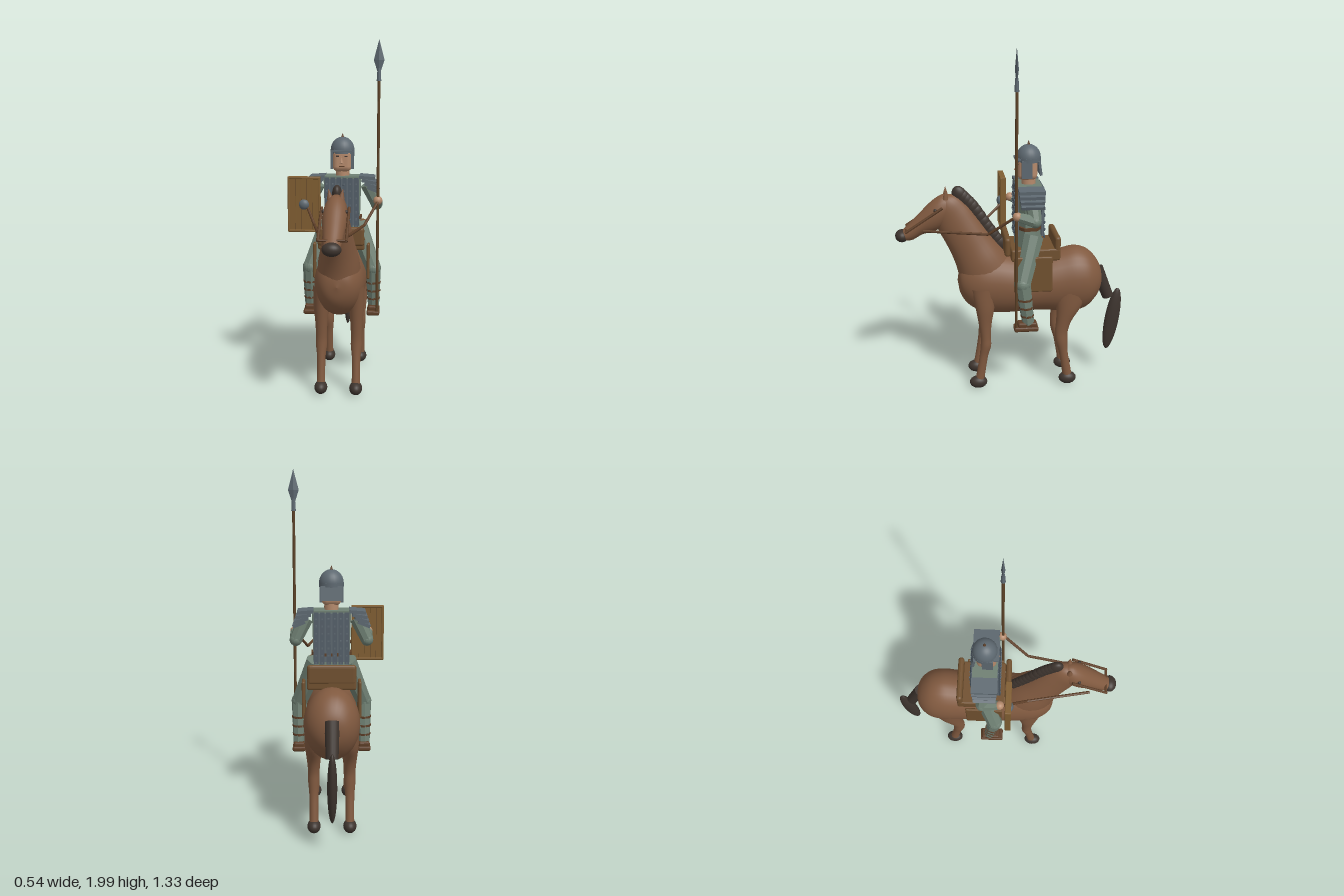
import * as THREE from 'three';
import { RoundedBoxGeometry } from 'three/addons/geometries/RoundedBoxGeometry.js';

const mat = (color, flatShading = false) => new THREE.MeshStandardMaterial({ color, flatShading });
const M = {
  coat: mat(0x80593f), dark: mat(0x3d342e), leather: mat(0x5e3f28, true), saddle: mat(0x70502f, true),
  cloth: mat(0x6f8073, true), steel: mat(0x5d6870, true), steelSmooth: mat(0x5d6870), plate: mat(0x49545e, true),
  skin: mat(0xb58a6c), wood: mat(0x7f5d31, true), woodDark: mat(0x5b4126, true),
};
const V = (x, y, z) => new THREE.Vector3(x, y, z);

export function createModel() {
  const model = new THREE.Group();
  const horse = new THREE.Group(), tack = new THREE.Group(), rider = new THREE.Group();
  horse.name = 'horse'; tack.name = 'tack'; rider.name = 'rider';
  model.add(horse, tack, rider);

  function add(parent, name, geo, material, x = 0, y = 0, z = 0) {
    const m = new THREE.Mesh(geo, material);
    m.name = name;
    m.position.set(x, y, z);
    parent.add(m);
    return m;
  }
  const box = (p, n, m, w, h, d, x, y, z) => add(p, n, new THREE.BoxGeometry(w, h, d), m, x, y, z);
  const rbox = (p, n, m, w, h, d, x, y, z, r = 0.01) => add(p, n, new RoundedBoxGeometry(w, h, d, 2, r), m, x, y, z);
  function ball(p, n, m, x, y, z, rx, ry = rx, rz = rx) {
    const s = add(p, n, new THREE.SphereGeometry(1, 24, 16), m, x, y, z);
    s.scale.set(rx, ry, rz);
    return s;
  }
  // Tapered rod from a to b
  function rod(p, n, m, a, b, ra, rb = ra, sides = 8) {
    const c = add(p, n, new THREE.CylinderGeometry(rb, ra, a.distanceTo(b), sides), m);
    c.position.copy(a).lerp(b, 0.5);
    c.quaternion.setFromUnitVectors(V(0, 1, 0), b.clone().sub(a).normalize());
    return c;
  }
  // Smooth skin over elliptical sections, each [zA, yA, zB, yB, halfWidth], refined by a spline
  function loft(p, n, m, sections, steps, x = 0) {
    const N = 28, pos = [], idx = [];
    const A = new THREE.CatmullRomCurve3(sections.map(s => V(0, s[1], s[0])));
    const B = new THREE.CatmullRomCurve3(sections.map(s => V(0, s[3], s[2])));
    const W = new THREE.CatmullRomCurve3(sections.map((s, i) => V(s[4], i, 0)));
    for (let i = 0; i <= steps; i++) {
      const a = A.getPoint(i / steps), b = B.getPoint(i / steps), w = Math.max(0, W.getPoint(i / steps).x);
      for (let j = 0; j < N; j++) {
        const t = j / N * Math.PI * 2, k = (1 + Math.cos(t)) / 2;
        pos.push(x + Math.sin(t) * w, b.y + (a.y - b.y) * k, b.z + (a.z - b.z) * k);
        if (i < steps) {
          const q = i * N + j, r = i * N + (j + 1) % N;
          idx.push(q, q + N, r, r, q + N, r + N);
        }
      }
    }
    const g = new THREE.BufferGeometry();
    g.setAttribute('position', new THREE.Float32BufferAttribute(pos, 3));
    g.setIndex(idx);
    g.computeVertexNormals();
    return add(p, n, g, m);
  }

  // Horse: barrel, neck and head
  loft(horse, 'body', M.coat, [
    [-0.54, 0.651, -0.54, 0.649, 0.001], [-0.525, 0.725, -0.525, 0.575, 0.07], [-0.49, 0.785, -0.49, 0.515, 0.115],
    [-0.44, 0.828, -0.44, 0.468, 0.143], [-0.37, 0.845, -0.37, 0.445, 0.153], [-0.28, 0.825, -0.28, 0.448, 0.15],
    [-0.18, 0.8, -0.18, 0.46, 0.146], [-0.05, 0.8, -0.05, 0.455, 0.146], [0.08, 0.82, 0.08, 0.452, 0.145],
    [0.18, 0.82, 0.18, 0.468, 0.137], [0.25, 0.79, 0.25, 0.51, 0.112], [0.295, 0.74, 0.295, 0.575, 0.07],
    [0.312, 0.661, 0.312, 0.659, 0.001]], 60);
  loft(horse, 'neck', M.coat, [
    [-0.02, 0.76, 0.295, 0.6, 0.125], [0.05, 0.85, 0.308, 0.71, 0.115], [0.12, 0.94, 0.335, 0.8, 0.095],
    [0.19, 1.04, 0.375, 0.89, 0.078], [0.25, 1.12, 0.41, 0.96, 0.066], [0.31, 1.17, 0.43, 1.03, 0.058],
    [0.36, 1.175, 0.42, 1.1, 0.04], [0.39, 1.15, 0.391, 1.149, 0.001]], 36);
  loft(horse, 'head', M.coat, [
    [0.31, 1.111, 0.31, 1.109, 0.001], [0.33, 1.16, 0.345, 1.03, 0.045], [0.38, 1.178, 0.395, 0.985, 0.062],
    [0.435, 1.15, 0.445, 0.962, 0.066], [0.52, 1.07, 0.505, 0.947, 0.056], [0.59, 1.0, 0.565, 0.915, 0.047],
    [0.625, 0.965, 0.61, 0.915, 0.036], [0.64, 0.94, 0.639, 0.938, 0.001]], 32);
  ball(horse, 'muzzle', M.dark, 0, 0.94, 0.622, 0.05, 0.036, 0.038);

  for (const s of [-1, 1]) {
    const ear = add(horse, 'ear', new THREE.ConeGeometry(0.018, 0.06, 12), M.coat, s * 0.034, 1.185, 0.37);
    ear.rotation.z = -s * 0.15;
    ball(horse, 'eye', M.dark, s * 0.06, 1.1, 0.43, 0.01);
    // Legs and hooves
    loft(horse, 'frontLeg', M.coat, [
      [0.24, 0.64, 0.09, 0.64, 0.045], [0.215, 0.52, 0.105, 0.52, 0.044], [0.198, 0.42, 0.122, 0.42, 0.035],
      [0.187, 0.33, 0.128, 0.33, 0.031], [0.188, 0.28, 0.126, 0.28, 0.032], [0.194, 0.22, 0.143, 0.22, 0.025],
      [0.208, 0.13, 0.158, 0.13, 0.023], [0.222, 0.05, 0.17, 0.05, 0.025]], 28, s * 0.1);
    ball(horse, 'frontHoof', M.dark, s * 0.1, 0.043, 0.203, 0.037, 0.037, 0.052);
    loft(horse, 'hindLeg', M.coat, [
      [-0.23, 0.62, -0.44, 0.62, 0.05], [-0.255, 0.51, -0.405, 0.51, 0.047], [-0.258, 0.42, -0.35, 0.42, 0.038],
      [-0.252, 0.35, -0.328, 0.35, 0.032], [-0.255, 0.29, -0.327, 0.29, 0.032], [-0.275, 0.22, -0.33, 0.22, 0.026],
      [-0.292, 0.13, -0.345, 0.13, 0.024], [-0.305, 0.05, -0.36, 0.05, 0.025]], 28, s * 0.1);
    ball(horse, 'hindHoof', M.dark, s * 0.1, 0.043, -0.332, 0.037, 0.037, 0.052);
  }

  // Mane lobes along the crest, and the tail
  const crest = new THREE.CatmullRomCurve3([V(0, 1.175, 0.292), V(0, 1.1, 0.222), V(0, 0.98, 0.142), V(0, 0.88, 0.07)]);
  for (let i = 0; i < 13; i++) {
    const c = crest.getPoint(i / 12);
    ball(horse, 'mane', M.dark, 0, c.y, c.z, 0.026, 0.05, 0.04).rotation.x = 0.5;
  }
  rod(horse, 'tailDock', M.dark, V(0, 0.7, -0.51), V(0, 0.52, -0.585), 0.04, 0.033, 16);
  ball(horse, 'tail', M.dark, 0, 0.37, -0.615, 0.026, 0.2, 0.043).rotation.x = -0.15;

  // Saddle
  rbox(tack, 'saddleSeat', M.saddle, 0.27, 0.07, 0.28, 0, 0.84, -0.13);
  rbox(tack, 'cantle', M.saddle, 0.27, 0.11, 0.035, 0, 0.89, -0.255, 0.016);
  rbox(tack, 'pommel', M.saddle, 0.27, 0.11, 0.035, 0, 0.89, 0.03, 0.016);
  for (const s of [-1, 1]) rbox(tack, 'saddleFlap', M.saddle, 0.018, 0.21, 0.22, s * 0.157, 0.735, -0.112, 0.008);

  // Bridle and reins
  rod(tack, 'bit', M.leather, V(-0.075, 0.98, 0.595), V(0.075, 0.98, 0.595), 0.007);
  for (const s of [-1, 1]) {
    rod(tack, 'cheekStrap', M.leather, V(s * 0.072, 1.115, 0.39), V(s * 0.072, 0.978, 0.6), 0.008);
    rod(tack, 'rein', M.leather, V(s * 0.075, 0.987, 0.5), V(s * 0.14, 0.977, 0.14), 0.008);
    rod(tack, 'reinEnd', M.leather, V(s * 0.14, 0.977, 0.14), V(s * 0.21, 1.09, 0), 0.008);
  }

  // Torso and belt
  const RZ = -0.1;
  function prism(name, m, r1, r2, h, y, sx, sz) {
    const g = new THREE.CylinderGeometry(r1, r2, h, 8).rotateY(Math.PI / 8).scale(sx, 1, sz);
    return add(rider, name, g, m, 0, y, RZ);
  }
  prism('torso', M.cloth, 0.118, 0.11, 0.26, 1.09, 1, 0.62);
  prism('tunicSkirt', M.cloth, 0.11, 0.125, 0.13, 0.92, 1, 0.68);
  prism('belt', M.leather, 0.122, 0.122, 0.018, 0.985, 1, 0.72);
  box(rider, 'yoke', M.cloth, 0.21, 0.02, 0.14, 0, 1.22, RZ);

  // Lamellar armour on chest and back
  for (const s of [-1, 1]) {
    box(rider, 'armourBacking', M.steel, 0.2, 0.27, 0.012, 0, 1.08, RZ + s * 0.07);
    for (let c = 0; c < 6; c++) for (let r = 0; r < 7; r++) {
      const x = (c - 2.5) * 0.034, y = 1.2 - r * 0.041;
      const plate = box(rider, 'armourPlate', M.plate, 0.025, 0.046, 0.007, x, y, RZ + s * 0.078);
      plate.rotation.x = -s * 0.15;
      box(rider, 'rivet', M.steel, 0.009, 0.009, 0.008, x, y - 0.013, RZ + s * 0.083);
    }
  }

  for (const s of [-1, 1]) {
    // Stacked shoulder plates
    for (let i = 0; i < 4; i++) {
      const p = box(rider, 'shoulderPlate', M.steel, 0.09 - i * 0.006, 0.018, 0.145 - i * 0.006,
        s * (0.145 + i * 0.012), 1.222 - i * 0.023, RZ);
      p.rotation.z = -s * (0.08 + i * 0.1);
    }
    // Arms
    const shoulder = V(s * 0.145, 1.18, RZ), elbow = V(s * 0.2, 1.06, -0.115), hand = V(s * 0.21, 1.095, -0.015);
    rod(rider, 'upperArm', M.cloth, shoulder, elbow, 0.045, 0.036);
    ball(rider, 'elbow', M.cloth, elbow.x, elbow.y, elbow.z, 0.035);
    rod(rider, 'forearm', M.cloth, elbow, hand, 0.035, 0.025);
    ball(rider, 'hand', M.skin, hand.x, hand.y, hand.z, 0.026);
    // Legs
    const hip = V(s * 0.085, 0.94, -0.12), knee = V(s * 0.185, 0.69, -0.048), ankle = V(s * 0.188, 0.45, -0.082);
    rod(rider, 'thigh', M.cloth, hip, knee, 0.06, 0.047);
    ball(rider, 'knee', M.cloth, knee.x, knee.y, knee.z, 0.046);
    rod(rider, 'shin', M.cloth, knee, ankle, 0.046, 0.034);
    for (const y of [0.6, 0.55, 0.5]) {
      const k = (0.69 - y) / 0.24, r = 0.048 - 0.012 * k;
      add(rider, 'shinStrap', new THREE.CylinderGeometry(r, r, 0.012, 8), M.leather, s * 0.187, y, -0.048 - 0.034 * k);
    }
    rbox(rider, 'boot', M.leather, 0.075, 0.028, 0.14, s * 0.187, 0.424, -0.068);
    rbox(rider, 'bootUpper', M.leather, 0.062, 0.03, 0.11, s * 0.187, 0.447, -0.075);
  }

  // Head and helmet
  rod(rider, 'neckSkin', M.skin, V(0, 1.2, RZ), V(0, 1.3, RZ), 0.04, 0.04, 16);
  rbox(rider, 'face', M.skin, 0.11, 0.13, 0.11, 0, 1.32, -0.092, 0.03);
  const nose = add(rider, 'nose', new THREE.ConeGeometry(0.012, 0.04, 4), M.skin, 0, 1.325, -0.033);
  nose.rotation.x = -0.2;
  box(rider, 'mouth', M.leather, 0.03, 0.006, 0.006, 0, 1.287, -0.038);
  for (const s of [-1, 1]) {
    box(rider, 'eyeMark', M.dark, 0.016, 0.007, 0.006, s * 0.024, 1.345, -0.037);
    box(rider, 'cheekGuard', M.steel, 0.014, 0.1, 0.06, s * 0.06, 1.32, -0.085);
  }
  const dome = add(rider, 'helmetDome', new THREE.SphereGeometry(0.069, 24, 12, 0, Math.PI * 2, 0, Math.PI / 2),
    M.steelSmooth, 0, 1.378, RZ);
  dome.scale.y = 1.1;
  add(rider, 'helmetBand', new THREE.CylinderGeometry(0.07, 0.07, 0.024, 24), M.steelSmooth, 0, 1.37, RZ);
  box(rider, 'helmetPeak', M.steel, 0.12, 0.01, 0.03, 0, 1.376, -0.036);
  box(rider, 'neckGuard', M.steel, 0.12, 0.08, 0.014, 0, 1.325, -0.16).rotation.x = 0.15;
  add(rider, 'finial', new THREE.ConeGeometry(0.012, 0.035, 10), M.leather, 0, 1.46, RZ);

  // Spear
  rod(rider, 'spearShaft', M.woodDark, V(0.21, 0.42, -0.01), V(0.21, 1.79, -0.01), 0.008);
  rod(rider, 'spearSocket', M.steel, V(0.21, 1.77, -0.01), V(0.21, 1.84, -0.01), 0.013, 0.009);
  const blade = new THREE.LatheGeometry([[0, 1.82], [0.01, 1.825], [0.03, 1.885], [0, 2]]
    .map(p => new THREE.Vector2(...p)), 4).rotateY(Math.PI / 2).scale(1, 1, 0.35);
  add(rider, 'spearBlade', blade, M.steel, 0.21, 0, -0.01);

  // Shield: planks, rim and boss
  const shield = new THREE.Group();
  shield.name = 'shield';
  shield.position.set(-0.21, 1.075, 0.034);
  rider.add(shield);
  for (let i = 0; i < 5; i++) box(shield, 'plank', M.wood, 0.031, 0.3, 0.024, (i - 2) * 0.033, 0, 0);
  box(shield, 'shieldBack', M.woodDark, 0.165, 0.3, 0.016, 0, 0, 0);
  for (const s of [-1, 1]) {
    rbox(shield, 'sideRim', M.wood, 0.014, 0.32, 0.034, s * 0.087, 0, 0, 0.005);
    rbox(shield, 'endRim', M.wood, 0.188, 0.014, 0.034, 0, s * 0.153, 0, 0.005);
  }
  ball(shield, 'boss', M.steelSmooth, 0, 0, 0.008, 0.03, 0.03, 0.022);

  model.position.x = 0.03;
  const root = new THREE.Group();
  root.name = 'mountedSpearman';
  root.add(model);
  return root;
}
